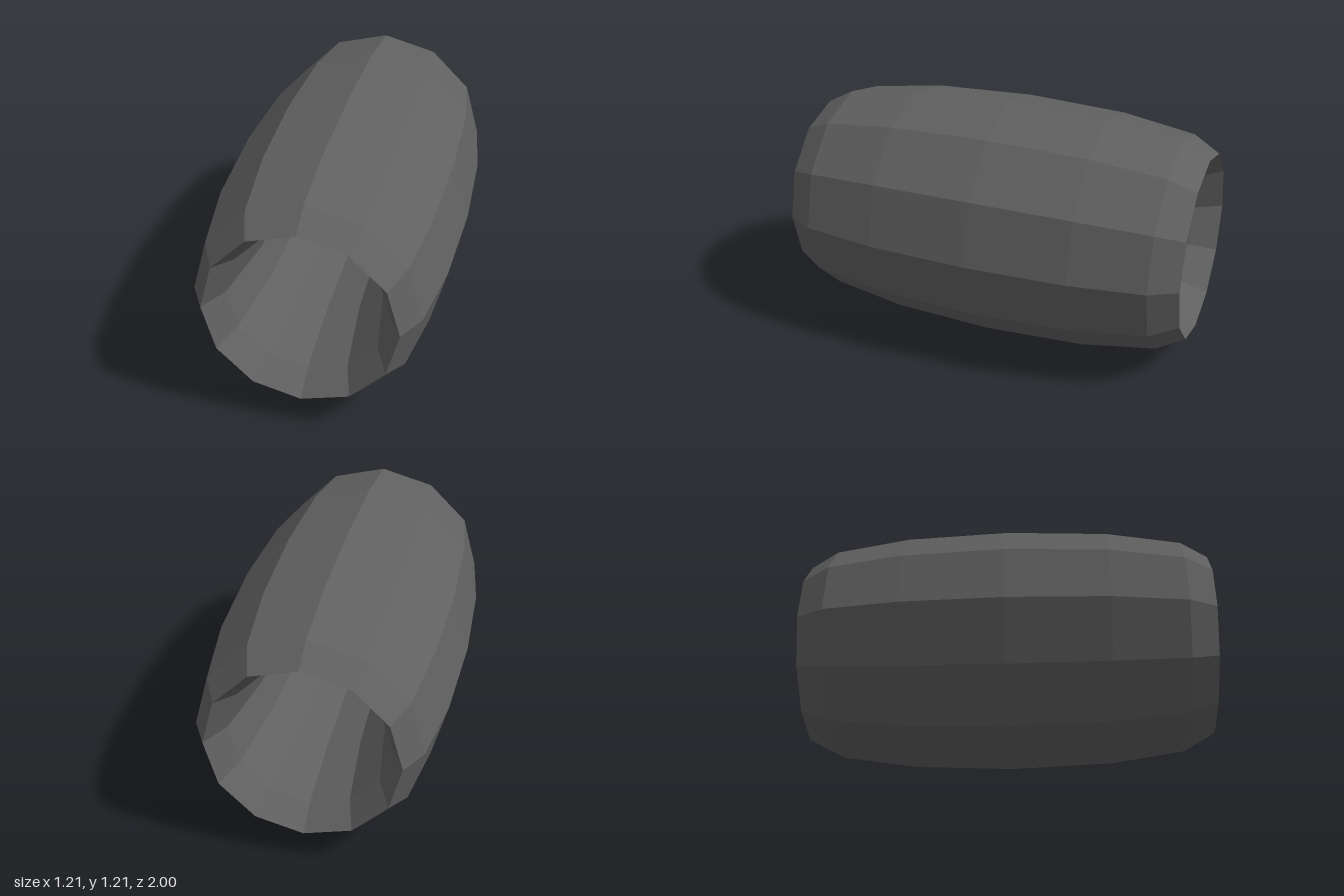
import * as THREE from 'three';

const RING_RADIUS = 0.455; // centre line of the wall
const WALL = 0.15;         // half the wall thickness
const HALF_LENGTH = 1;     // half the length along z

export function createModel() {
  const group = new THREE.Group();
  group.name = 'barrelBead';

  // Faceted torus stretched along its axis into a hollow barrel
  const geometry = new THREE.TorusGeometry(RING_RADIUS, WALL, 12, 12);
  geometry.scale(1, 1, HALF_LENGTH / WALL);

  // Dark grey
  const material = new THREE.MeshStandardMaterial({ color: 0x606060, flatShading: true });
  const shell = new THREE.Mesh(geometry, material);
  shell.name = 'hollowBarrel';
  shell.position.y = RING_RADIUS + WALL;
  group.add(shell);

  return group;
}
